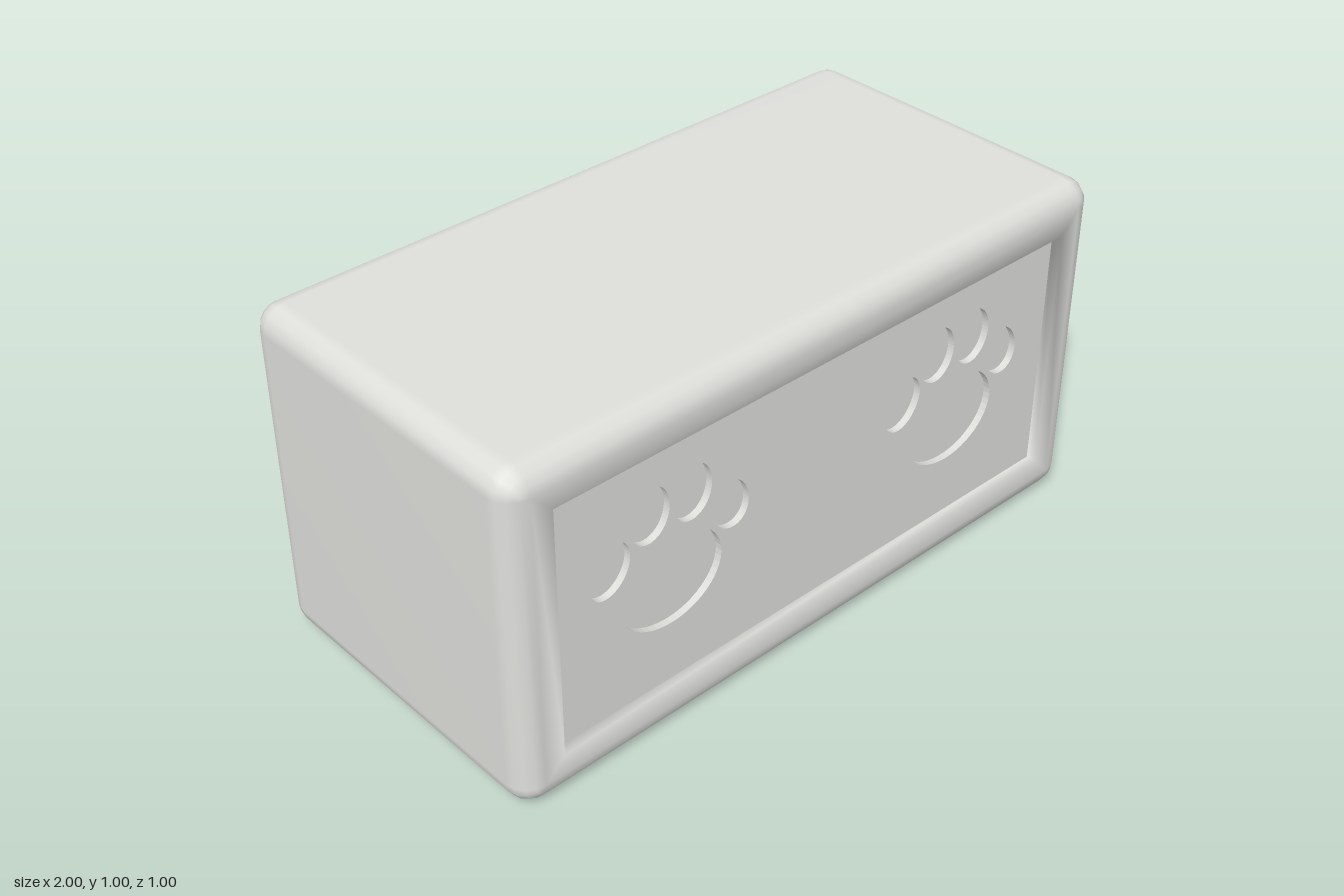
import * as THREE from 'three';
import { mergeVertices } from 'three/addons/utils/BufferGeometryUtils.js';

const HALF_W = 1, HALF_H = 0.5, HALF_D = 0.5; // overall half sizes
const R = 0.07;       // edge rounding
const RIM = 0.06;     // flat rim between the rounding and the recess
const RECESS = 0.03;  // depth of the panel recess
const PAW = 0.02;     // depth of the paw prints
const STEPS = 4;      // segments per rounded quarter

// Rounded body, open at both recesses: rounded rectangles lofted from back to front
function bodyGeometry() {
  const rows = [[-RIM, -HALF_D + RECESS], [-RIM, -HALF_D]]; // [offset, z]
  for (const side of [-1, 1]) {
    for (let i = 0; i <= STEPS; i++) {
      const a = (Math.PI / 2) * (i / STEPS + (side < 0 ? -1 : 0));
      rows.push([R * Math.cos(a), side * (HALF_D - R) + R * Math.sin(a)]);
    }
  }
  rows.push([-RIM, HALF_D], [-RIM, HALF_D - RECESS]);

  const corners = [[1, 1], [-1, 1], [-1, -1], [1, -1]];
  const positions = [], index = [];
  const n = 4 * (STEPS + 1);
  for (const [offset, z] of rows) {
    corners.forEach(([sx, sy], c) => {
      for (let i = 0; i <= STEPS; i++) {
        const a = (Math.PI / 2) * (c + i / STEPS);
        const dx = offset > 0 ? Math.cos(a) : sx;
        const dy = offset > 0 ? Math.sin(a) : sy;
        positions.push(sx * (HALF_W - R) + offset * dx, sy * (HALF_H - R) + offset * dy, z);
      }
    });
  }
  for (let r = 0; r < rows.length - 1; r++) {
    for (let j = 0; j < n; j++) {
      const a = r * n + j, b = r * n + (j + 1) % n;
      index.push(a, b, b + n, a, b + n, a + n);
    }
  }
  const geometry = new THREE.BufferGeometry();
  geometry.setAttribute('position', new THREE.Float32BufferAttribute(positions, 3));
  geometry.setIndex(index);
  const merged = mergeVertices(geometry, 1e-4);
  merged.computeVertexNormals();
  return merged;
}

// Ellipses of one paw print: x, y, radius x, radius y, tilt
const PAW_PADS = [
  [0, -0.056, 0.166, 0.135, 0],
  [-0.068, 0.174, 0.065, 0.082, 0],
  [0.068, 0.174, 0.065, 0.082, 0],
  [-0.192, 0.075, 0.061, 0.079, -0.44],
  [0.192, 0.075, 0.061, 0.079, 0.44],
];

// Recessed panel with paw-shaped openings
function panelGeometry(w, h) {
  const shape = new THREE.Shape();
  shape.moveTo(-w, -h).lineTo(w, -h).lineTo(w, h).lineTo(-w, h).closePath();
  for (const px of [-0.5, 0.5]) {
    for (const [x, y, rx, ry, tilt] of PAW_PADS) {
      shape.holes.push(new THREE.Path().absellipse(px + x, y, rx, ry, 0, Math.PI * 2, true, tilt));
    }
  }
  return new THREE.ExtrudeGeometry(shape, { depth: PAW, bevelEnabled: false, curveSegments: 24 });
}

export function createModel() {
  const model = new THREE.Group();
  model.name = 'pawPrintBlock';
  const grey = new THREE.MeshStandardMaterial({ color: 0xdededb });
  grey.name = 'lightGrey';

  const add = (parent, name, geometry, z = 0) => {
    const mesh = new THREE.Mesh(geometry, grey);
    mesh.name = name;
    mesh.position.z = z;
    parent.add(mesh);
  };

  const block = new THREE.Group();
  block.name = 'block';
  block.position.y = HALF_H;
  model.add(block);
  add(block, 'roundedBody', bodyGeometry());

  // Same panel on the front and the back
  const w = HALF_W - R - RIM, h = HALF_H - R - RIM;
  const panel = panelGeometry(w, h);
  const floor = new THREE.PlaneGeometry(2 * w, 2 * h);
  for (const [name, turn] of [['frontPanel', 0], ['backPanel', Math.PI]]) {
    const side = new THREE.Group();
    side.name = name;
    side.rotation.y = turn;
    add(side, 'pawPanel', panel, HALF_D - RECESS - PAW);
    add(side, 'pawPrintFloor', floor, HALF_D - RECESS - PAW);
    block.add(side);
  }
  return model;
}
